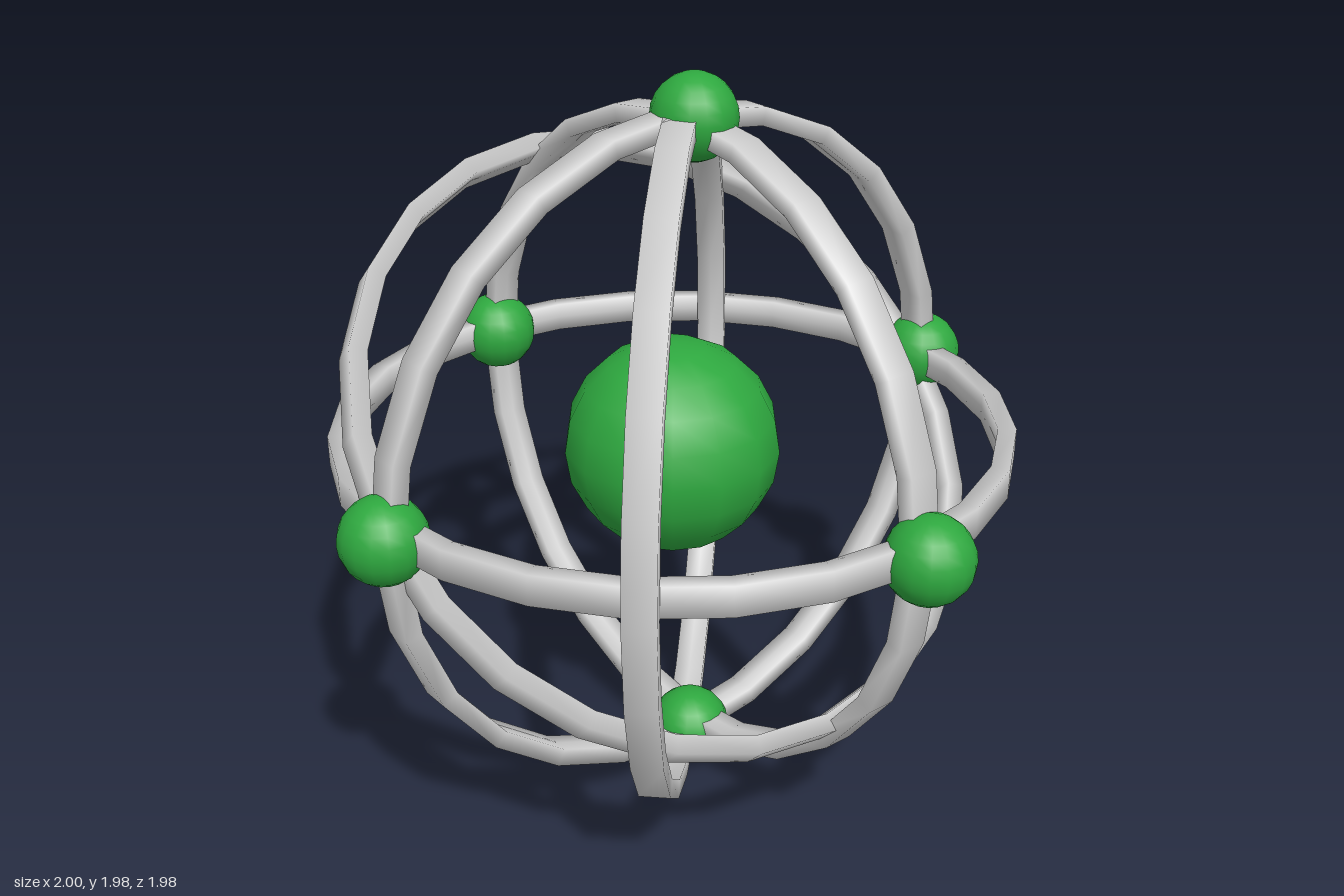
import * as THREE from 'three';

export function createModel() {
  const model = new THREE.Group();
  model.name = 'ringGlobe';
  const grey = new THREE.MeshStandardMaterial({ color: 0xd0d0d0 });
  grey.name = 'light grey';
  const green = new THREE.MeshStandardMaterial({ color: 0x2ea83f });
  green.name = 'green';

  function add(name, geometry, material, position, rotation = [0, 0, 0]) {
    const mesh = new THREE.Mesh(geometry, material);
    mesh.name = name;
    mesh.position.set(...position);
    mesh.rotation.set(...rotation);
    model.add(mesh);
  }

  // Flat band with softly shaded edges, revolved around its own y axis
  function band(outer) {
    const inner = outer - 0.048, h = 0.04;
    const profile = [[inner, 0], [inner, -h], [outer, -h], [outer, h], [inner, h], [inner, 0]];
    return new THREE.LatheGeometry(profile.map(([x, y]) => new THREE.Vector2(x, y)), 24);
  }

  // Rings: three upright to the axes and two turned by 45 degrees
  const small = band(0.888), large = band(0.907);
  const q = Math.PI / 4;
  add('equatorRing', small, grey, [0.005, 1.037, -0.022]);
  add('tiltedRing', small, grey, [0.005, 1.037, -0.022], [q, 0, 0]);
  add('sideRing', small, grey, [0.044, 0.995, -0.025], [0, 0, Math.PI / 2]);
  add('frontRing', large, grey, [0.003, 0.995, 0.02], [Math.PI / 2, 0, 0]);
  // The diagonal ring is the front ring swung about the vertical
  const diagonal = large.clone().rotateX(Math.PI / 2);
  add('diagonalRing', diagonal, grey, [0.003, 0.995, 0.02], [0, q, 0]);

  // Core ball
  add('core', new THREE.SphereGeometry(0.286, 14, 10), green, [0.003, 0.995, -0.02]);

  // Balls where the rings cross
  const node = new THREE.SphereGeometry(0.11, 16, 12);
  const nodes = {
    topNode: [0.035, 1.875, 0.025],
    bottomNode: [0.03, 0.113, 0.025],
    leftNode: [0.888, 1.035, 0.022],
    rightNode: [-0.89, 1.035, 0.022],
    frontNode: [0.035, 1.03, 0.875],
    backNode: [0.03, 1.03, -0.882],
  };
  for (const [name, position] of Object.entries(nodes)) add(name, node, green, position);

  return model;
}
